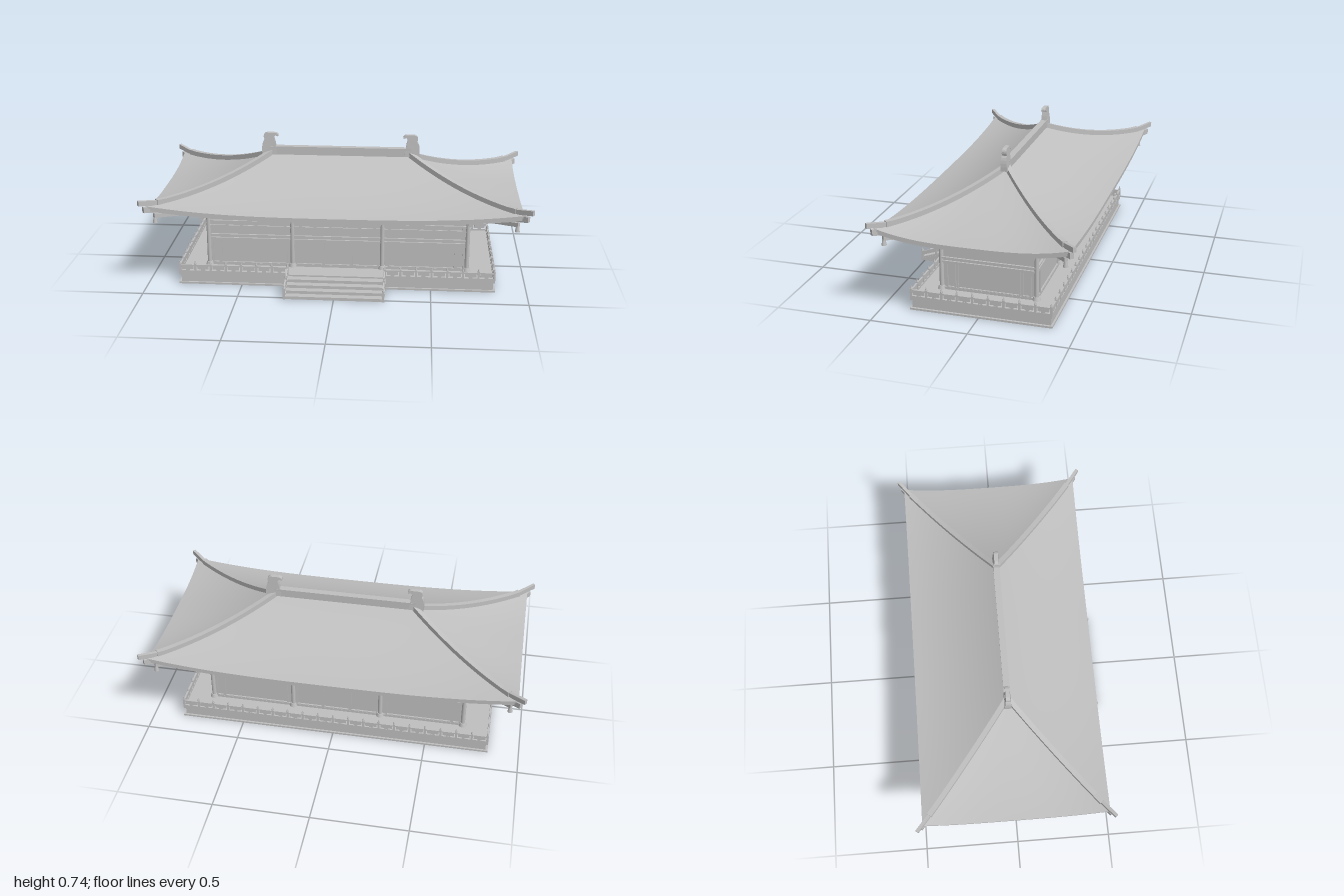
import * as THREE from 'three';

const stone = new THREE.MeshStandardMaterial({ color: 0xbfbfbf });
stone.name = 'plain grey';

function add(parent, name, geo, x = 0, y = 0, z = 0) {
  const m = new THREE.Mesh(geo, stone);
  m.name = name;
  m.position.set(x, y, z);
  parent.add(m);
  return m;
}
// box given by its centre in x and z and its bottom and top in y
const box = (p, name, w, d, y0, y1, x = 0, z = 0) =>
  add(p, name, new THREE.BoxGeometry(w, y1 - y0, d), x, (y0 + y1) / 2, z);

function sub(parent, name, x = 0, y = 0, z = 0, ry = 0) {
  const g = new THREE.Group();
  g.name = name;
  g.position.set(x, y, z);
  g.rotation.y = ry;
  parent.add(g);
  return g;
}

// grid surface through rows of points
function loft(rows, smooth, closed = false) {
  const n = rows[0].length, idx = [];
  for (let i = 0; i < rows.length - 1; i++)
    for (let j = 0; j < n - (closed ? 0 : 1); j++) {
      const a = i * n + j, b = i * n + (j + 1) % n;
      idx.push(a, a + n, b, b, a + n, b + n);
    }
  if (closed) {
    const e = (rows.length - 1) * n;
    idx.push(0, 1, 2, 0, 2, 3, e, e + 2, e + 1, e, e + 3, e + 2);
  }
  let g = new THREE.BufferGeometry();
  g.setAttribute('position', new THREE.Float32BufferAttribute(rows.flat(2), 3));
  g.setIndex(idx);
  if (!smooth) g = g.toNonIndexed();
  g.computeVertexNormals();
  return g;
}

// rectangular bar swept along a path; each point is [x, bottom y, z]
function bar(path, w, h) {
  const a = path[0], b = path[path.length - 1];
  const l = Math.hypot(b[0] - a[0], b[2] - a[2]);
  const nx = -(b[2] - a[2]) / l * w / 2, nz = (b[0] - a[0]) / l * w / 2;
  return loft(path.map(([x, y, z]) => [
    [x + nx, y, z + nz], [x + nx, y + h, z + nz], [x - nx, y + h, z - nz], [x - nx, y, z - nz],
  ]), false, true);
}

// roof height: s from ridge to eave, t along the side
const lift = (t) => 0.045 * Math.abs(t) ** 3;
const roofY = (s, t) => 0.63 - 0.32 * s + 0.12 * s * s + lift(t) * s * s;
const range = (n) => Array.from({ length: n + 1 }, (_, i) => i / n);
const place = (side, X, Z, t, y) => (side ? [X, y, -t * Z] : [t * X, y, Z]);

// rectangular frame with an open middle
function frame(p, name, x0, x1, y0, y1, z, b = 0.008) {
  const s = new THREE.Shape();
  s.moveTo(x0, y0).lineTo(x1, y0).lineTo(x1, y1).lineTo(x0, y1).closePath();
  const h = new THREE.Path();
  h.moveTo(x0 + b, y0 + b).lineTo(x0 + b, y1 - b).lineTo(x1 - b, y1 - b).lineTo(x1 - b, y0 + b).closePath();
  s.holes.push(h);
  add(p, name, new THREE.ExtrudeGeometry(s, { depth: 0.008, bevelEnabled: false }), 0, 0, z);
}

// balustrade between two floor points
function railing(p, x0, z0, x1, z1, n) {
  const L = Math.hypot(x1 - x0, z1 - z0);
  const g = sub(p, 'railing', x0, 0, z0, -Math.atan2(z1 - z0, x1 - x0));
  box(g, 'topRail', L, 0.009, 0.1, 0.108, L / 2);
  box(g, 'railFoot', L, 0.01, 0.066, 0.076, L / 2);
  for (let i = 0; i <= n; i++) {
    post(g, (L * i) / n, 0.066, 0);
    if (i === n) continue;
    const mid = (L * (i + 0.5)) / n;
    box(g, 'railPanel', L / n - 0.022, 0.008, 0.083, 0.102, mid);
    box(g, 'railBlock', 0.02, 0.007, 0.074, 0.085, mid);
  }
}
function post(p, x, y, z) {
  box(p, 'railPost', 0.011, 0.011, y, y + 0.048, x, z);
  add(p, 'postCap', new THREE.CylinderGeometry(0.002, 0.006, 0.016, 6), x, y + 0.056, z);
}

function buildRoof(roof) {
  const ts = range(32).map((v) => v * 2 - 1);
  // eave edge, stepped soffit and sloping cove: [fraction from wall to eave, drop]
  const soffit = [[1, 0], [1, -0.012], [0.985, -0.012], [0.985, -0.025]];
  for (const f of [0.88, 0.7, 0.52, 0.34, 0.16])
    soffit.push([f, -0.025], [f, -0.031], [f - 0.05, -0.031], [f - 0.05, -0.025]);
  soffit.push([0.08, -0.025], [-0.02, -0.05]);
  for (const half of [0, 1]) {
    const g = sub(roof, 'roofHalf', 0, 0, 0, half * Math.PI);
    for (const side of [0, 1]) {
      add(g, 'roofSlope', loft(range(14).map((s) =>
        ts.map((t) => place(side, 0.37 + 0.593 * s, 0.481 * s, t, roofY(s, t)))), true));
      add(g, 'eaveUnderside', loft(soffit.map(([f, o]) =>
        ts.map((t) => place(side, 0.69 + 0.273 * f, 0.25 + 0.231 * f, t, 0.43 + lift(t) * f * f + o))), false));
    }
    // hip ridges and upturned tips
    for (const k of [-1, 1]) {
      const hip = (a, b, dy) => range(14).map((v) => {
        const s = a + (b - a) * v;
        return [0.37 + 0.593 * s, roofY(Math.min(s, 1), 1) + Math.max(0, s - 0.9) * 0.12 + dy, k * 0.481 * s];
      });
      add(g, 'hipRidge', bar(hip(0, 0.92, -0.008), 0.026, 0.03));
      add(g, 'hipTip', bar(hip(0.85, 1.055, -0.008), 0.017, 0.026));
      add(g, 'hipRafter', bar(hip(0.82, 1.02, -0.046), 0.02, 0.03));
      // corner bell
      add(g, 'bellLink', new THREE.CylinderGeometry(0.003, 0.003, 0.04, 6), 0.925, 0.425, k * 0.45);
      add(g, 'bell', new THREE.CylinderGeometry(0.008, 0.013, 0.03, 10), 0.925, 0.392, k * 0.45);
    }
    // ridge end ornament, tapering upward
    const s = new THREE.Shape();
    s.moveTo(-0.425, 0.625).lineTo(-0.345, 0.625).lineTo(-0.355, 0.69).lineTo(-0.362, 0.718)
      .lineTo(-0.352, 0.728).lineTo(-0.338, 0.722).quadraticCurveTo(-0.335, 0.74, -0.355, 0.742)
      .lineTo(-0.4, 0.742).quadraticCurveTo(-0.425, 0.735, -0.412, 0.705)
      .quadraticCurveTo(-0.43, 0.685, -0.425, 0.625);
    const geo = new THREE.ExtrudeGeometry(s, { depth: 0.036, bevelEnabled: false, curveSegments: 5 });
    geo.translate(0, 0, -0.018);
    const q = geo.attributes.position;
    for (let i = 0; i < q.count; i++) q.setZ(i, q.getZ(i) * (1 - 3.5 * Math.max(0, q.getY(i) - 0.63)));
    geo.computeVertexNormals();
    add(g, 'ridgeOrnament', geo);
  }
  box(roof, 'mainRidge', 0.76, 0.026, 0.61, 0.662);
  box(roof, 'ridgeCap', 0.76, 0.034, 0.658, 0.668);
}

// one wall face: beams, lattice blocks and framed bays
function wallFace(p, W, D, ry, bays) {
  const g = sub(p, 'wallFace', 0, 0, 0, ry);
  const beam = (y0, y1, out) => box(g, 'wallBeam', 2 * W, 0.012, y0, y1, 0, D + out);
  beam(0.066, 0.08, 0.003); beam(0.214, 0.224, 0.003); beam(0.236, 0.244, 0.004);
  beam(0.285, 0.295, 0.003); beam(0.311, 0.322, 0.005);
  const n = Math.round(W * 24);
  for (let i = 0; i <= n; i++) box(g, 'latticeBlock', 0.016, 0.01, 0.293, 0.313, W * (2 * i / n - 1) * 0.97, D + 0.002);
  for (const [a, b] of bays) frame(g, 'panelFrame', a, b, 0.076, 0.216, D);
}

function buildHall(hall) {
  box(hall, 'walls', 1.38, 0.488, 0.06, 0.41);
  const doors = [-1, 0, 1].map((i) => [(i - 0.5) * 0.15, (i + 0.5) * 0.15]);
  const front = [...doors, [0.27, 0.63], [0.63, 0.675], [-0.63, -0.27], [-0.675, -0.63]];
  const side = [[-0.167, 0.167], [0.172, 0.222], [-0.222, -0.172]];
  for (const k of [0, 1]) {
    wallFace(hall, 0.69, 0.244, k * Math.PI, front);
    wallFace(hall, 0.245, 0.69, (k + 0.5) * Math.PI, side);
    const g = sub(hall, 'columnRow', 0, 0, 0, k * Math.PI);
    for (const x of [-0.69, -0.24, 0.24, 0.69]) {
      add(g, 'column', new THREE.CylinderGeometry(0.011, 0.012, 0.34, 14), x, 0.235, 0.248);
      add(g, 'columnBase', new THREE.CylinderGeometry(0.016, 0.022, 0.02, 14), x, 0.076, 0.248);
      // eave arms
      box(g, 'eaveArm', 0.014, 0.19, 0.386, 0.402, x, 0.335);
      box(g, 'bracketArm', 0.014, 0.06, 0.364, 0.388, x, 0.28);
    }
    box(g, 'sideArm', 0.22, 0.014, 0.386, 0.402, 0.79, 0);
    for (const z of [-0.248, 0.248]) {
      box(g, 'sideArm', 0.2, 0.014, 0.386, 0.402, 0.78, z);
      box(g, 'sideBracket', 0.07, 0.014, 0.364, 0.388, 0.725, z);
      // diagonal corner brackets
      const e = Math.sign(z);
      add(g, 'cornerArm', bar([[0.69, 0.378, z], [0.8, 0.382, e * 0.34], [0.93, 0.405, e * 0.453]], 0.018, 0.022));
      add(g, 'cornerBrace', bar([[0.69, 0.335, z], [0.72, 0.35, e * 0.275], [0.765, 0.372, e * 0.311]], 0.016, 0.026));
    }
  }
}

function buildPlatform(base) {
  // stacked plinth mouldings
  box(base, 'plinthFoot', 1.674, 0.734, 0, 0.01);
  box(base, 'plinthBody', 1.65, 0.714, 0.009, 0.052);
  box(base, 'plinthCornice', 1.67, 0.73, 0.052, 0.067);
  const X = 0.83, Z = 0.36, S = 0.258;
  railing(base, -X, -Z, X, -Z, 20);
  railing(base, -X, -Z, -X, Z, 9);
  railing(base, X, -Z, X, Z, 9);
  railing(base, -X, Z, -S, Z, 7);
  railing(base, S, Z, X, Z, 7);
}

function buildStairs(stairs) {
  // slab treads, open underneath
  for (let i = 0; i < 4; i++)
    box(stairs, 'step', 0.5, 0.042, i * 0.0155, (i + 1) * 0.0155, 0, 0.504 - i * 0.037);
  for (const k of [-1, 1]) {
    // sloping side walls with handrails
    const x = k * 0.256;
    const slope = (y) => [[x, y + 0.064, 0.36], [x, y + 0.008, 0.528]];
    const s = new THREE.Shape();
    s.moveTo(-0.36, 0).lineTo(-0.36, 0.067).lineTo(-0.528, 0.01).lineTo(-0.528, 0).closePath();
    const cheek = add(stairs, 'stairSideWall', new THREE.ExtrudeGeometry(s, { depth: 0.014, bevelEnabled: false }), x - 0.007);
    cheek.rotation.y = Math.PI / 2;
    add(stairs, 'handrail', bar(slope(0.021), 0.008, 0.021));
    add(stairs, 'handrailFoot', bar(slope(0.001), 0.01, 0.009));
    for (const v of [0.02, 0.5, 0.97]) post(stairs, x, 0.064 - 0.056 * v, 0.36 + 0.168 * v);
  }
}

export function createModel() {
  const model = new THREE.Group();
  model.name = 'hall';
  const at = (name) => sub(model, name, 0, 0, -0.01);
  buildPlatform(at('platform'));
  buildStairs(at('stairs'));
  buildHall(at('hallBody'));
  buildRoof(at('roof'));
  return model;
}
